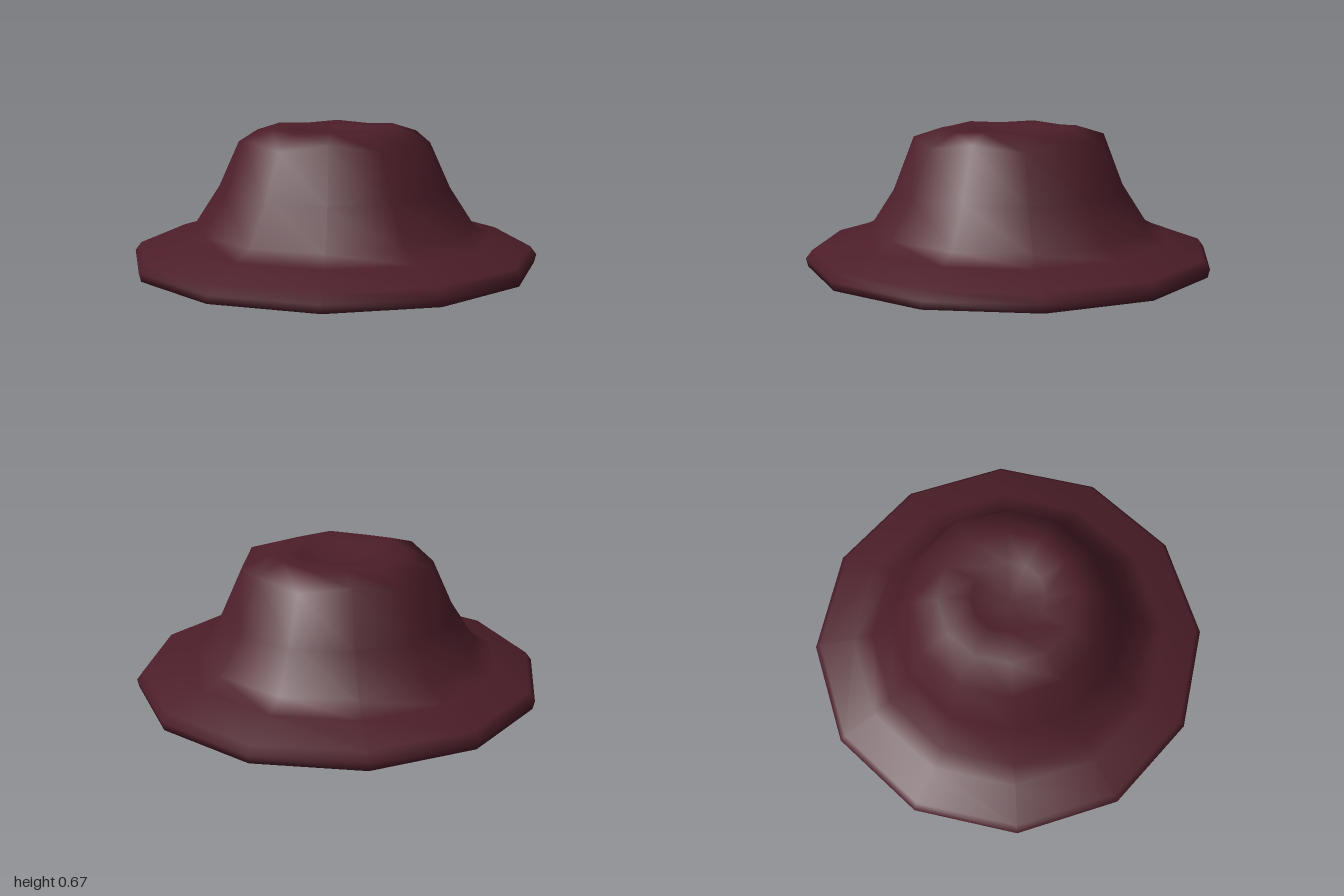
import * as THREE from 'three';
import { mergeVertices } from 'three/addons/utils/BufferGeometryUtils.js';

const SIDES = 12;

// Outline from the hollow underside to the dimple: radius, height, drop of every second corner
const PROFILE = [
  [0, 0.18, 0],
  [0.99, 0, 0],
  [1.0, 0.04, 0],
  [0.97, 0.08, 0],
  [0.79, 0.135, 0],
  [0.69, 0.185, 0],
  [0.57, 0.37, 0],
  [0.47, 0.627, 0.035],
  [0.33, 0.67, 0.012],
  [0.175, 0.66, 0],
  [0, 0.57, 0],
];

export function createModel() {
  const model = new THREE.Group();
  model.name = 'flaredMound';
  const maroon = new THREE.MeshStandardMaterial({ color: 0x4c1e29 });
  maroon.name = 'maroon';

  // Mound with a flared foot, a wavy shoulder, a dimple on top and a shallow hollow below
  const lathe = new THREE.LatheGeometry(PROFILE.map(([r, y]) => new THREE.Vector2(r, y)), SIDES);
  const pos = lathe.attributes.position;
  for (let i = 0; i < pos.count; i++) {
    const side = Math.floor(i / PROFILE.length);
    if (side % 2 === 1) pos.setY(i, pos.getY(i) - PROFILE[i % PROFILE.length][2]);
  }

  // Join the seam so the shading runs smoothly all round
  lathe.deleteAttribute('normal');
  lathe.deleteAttribute('uv');
  const shell = mergeVertices(lathe, 1e-4);
  shell.computeVertexNormals();
  const mound = new THREE.Mesh(shell, maroon);
  mound.name = 'mound';
  model.add(mound);

  return model;
}
